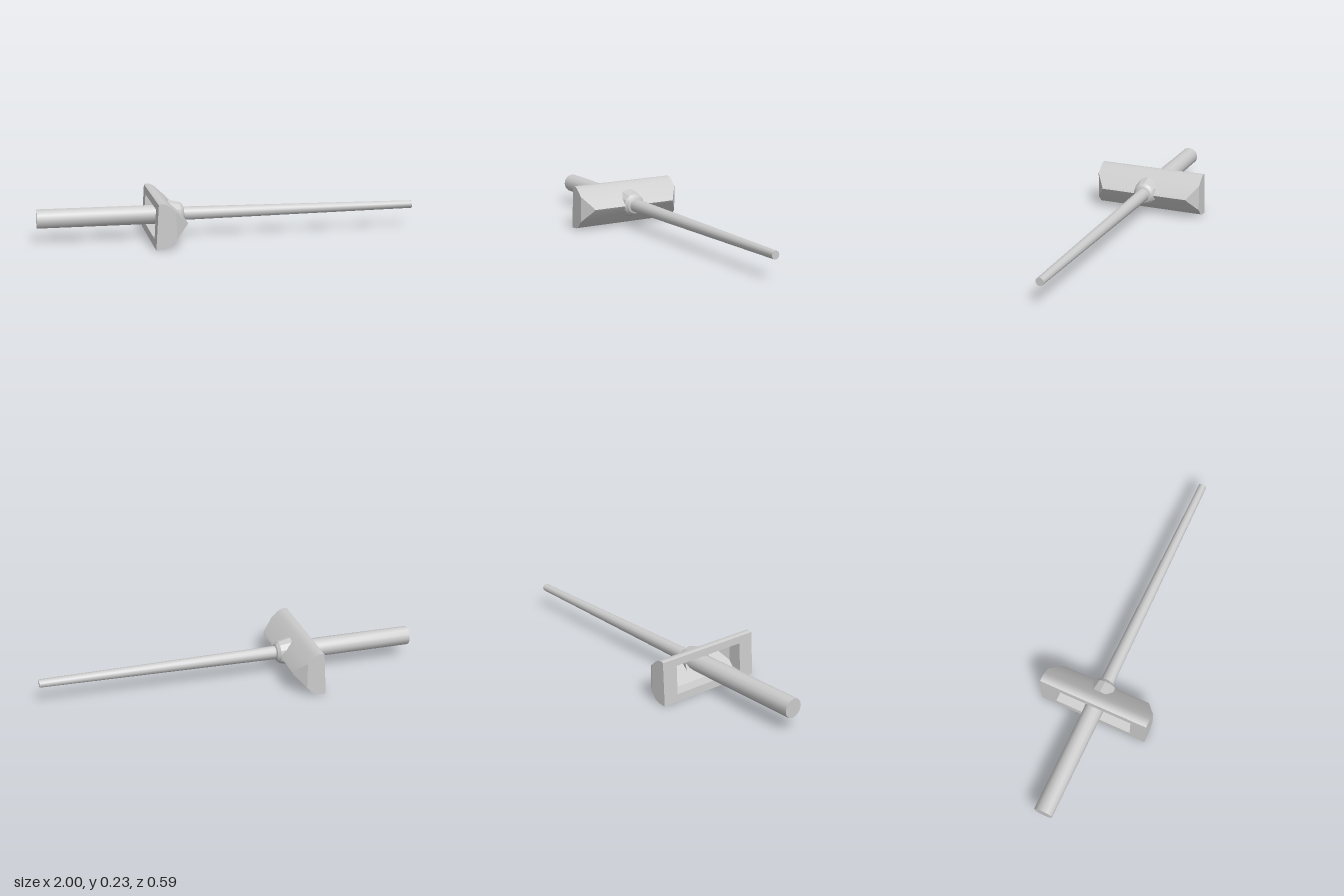
import * as THREE from 'three';
import { toCreasedNormals } from 'three/addons/utils/BufferGeometryUtils.js';

const AXIS_Y = 0.122;
const grey = new THREE.MeshStandardMaterial({ color: 0xcccccc, side: THREE.DoubleSide });

function addMesh(parent, name, geometry, crease) {
  const mesh = new THREE.Mesh(toCreasedNormals(geometry, crease), grey);
  mesh.name = name;
  parent.add(mesh);
  return mesh;
}

// Round part turned about the long axis, from [x, radius] pairs
function turned(parent, name, pairs, sides, crease) {
  const points = pairs.map(([x, r]) => new THREE.Vector2(r, x));
  const geometry = new THREE.LatheGeometry(points, sides);
  geometry.rotateZ(-Math.PI / 2);
  geometry.translate(0, AXIS_Y, 0);
  return addMesh(parent, name, geometry, crease);
}

// Triangles to geometry; flip turns the faces inward
function fromTriangles(triangles, flip = false) {
  const points = triangles.flatMap(([a, b, c]) => (flip ? [a, c, b] : [a, b, c]));
  return new THREE.BufferGeometry().setFromPoints(points.map((p) => new THREE.Vector3(...p)));
}

// Trough along z, open at the back, with the nose sloped off at both ends
function trough(profile, zMax, slopeX, flip) {
  const at = ([x, y], side) => [x, y, side * (zMax - Math.max(0, x - slopeX) * 0.79)];
  const triangles = [];
  for (let i = 0; i < profile.length - 1; i++) {
    const [p, q] = [profile[i], profile[i + 1]];
    triangles.push([at(p, -1), at(p, 1), at(q, 1)], [at(p, -1), at(q, 1), at(q, -1)]);
  }
  // Each end is a flat cap plus a sloped cap
  const caps = [profile.filter((p) => p[0] <= slopeX), profile.filter((p) => p[0] >= slopeX)];
  for (const cap of caps) {
    for (let i = 1; i < cap.length - 1; i++) {
      triangles.push([at(cap[0], 1), at(cap[i + 1], 1), at(cap[i], 1)]);
      triangles.push([at(cap[0], -1), at(cap[i], -1), at(cap[i + 1], -1)]);
    }
  }
  return fromTriangles(triangles, flip);
}

export function createModel() {
  const model = new THREE.Group();
  model.name = 'rodWithCrosshead';

  // Handle runs into the hollow crosshead
  turned(model, 'handle', [[-1, 0], [-1, 0.05], [-0.28, 0.05], [-0.28, 0]], 12, 0.6);

  // Long tapered rod and its stepped collar
  turned(model, 'rod', [[-0.28, 0.036], [1, 0.021], [1, 0]], 12, 0.6);
  turned(model, 'collar', [[-0.33, 0.076], [-0.265, 0.06], [-0.25, 0.047], [-0.245, 0.034]], 12, 0.4);

  // Crosshead: outer skin, recess and rear rim
  const head = new THREE.Group();
  head.name = 'crosshead';
  model.add(head);

  const outer = [
    [-0.413, 0.228], [-0.4, 0.233], [-0.38, 0.231], [-0.358, 0.217], [-0.325, 0.187],
    [-0.267, 0.132], [-0.26, 0.121], [-0.267, 0.11],
    [-0.325, 0.05], [-0.36, 0.013], [-0.385, 0.003], [-0.428, 0],
  ];
  const inner = [
    [-0.416, 0.19], [-0.37, 0.186], [-0.345, 0.165],
    [-0.295, 0.121],
    [-0.345, 0.073], [-0.37, 0.045], [-0.425, 0.04],
  ];
  const outerZ = 0.295, innerZ = 0.21;
  addMesh(head, 'outerSkin', trough(outer, outerZ, -0.325, false), 0.6);
  addMesh(head, 'recess', trough(inner, innerZ, -0.345, true), 0.5);

  const corners = (profile, z) => {
    const [top, bottom] = [profile[0], profile[profile.length - 1]];
    return [[...top, -z], [...top, z], [...bottom, z], [...bottom, -z]];
  };
  const a = corners(outer, outerZ), b = corners(inner, innerZ);
  const rim = [];
  for (let i = 0; i < 4; i++) {
    const j = (i + 1) % 4;
    rim.push([a[i], b[j], a[j]], [a[i], b[i], b[j]]);
  }
  addMesh(head, 'rearRim', fromTriangles(rim), 0.3);

  return model;
}
